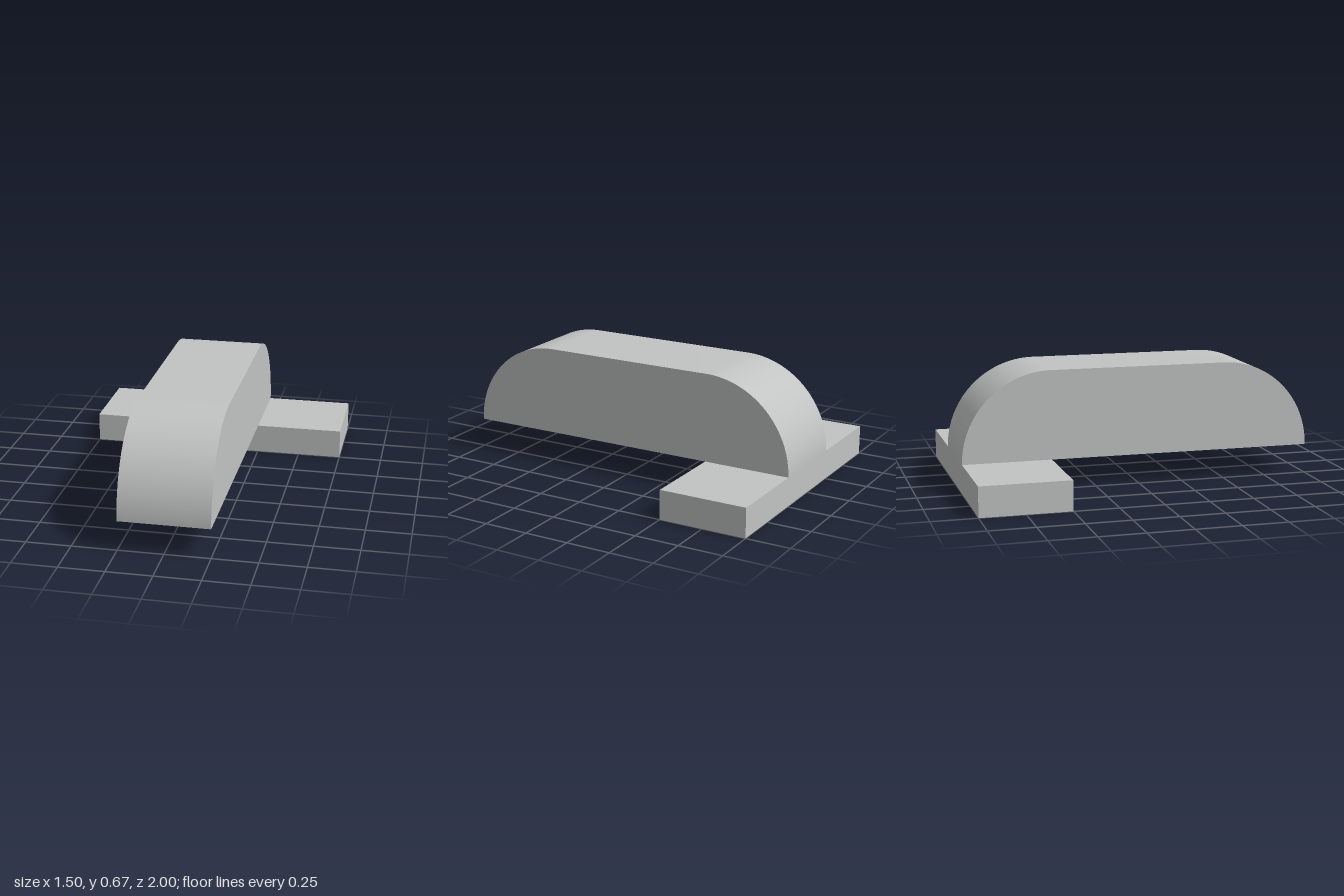
import * as THREE from 'three';
import { toCreasedNormals } from 'three/addons/utils/BufferGeometryUtils.js';

export function createModel() {
  const model = new THREE.Group();
  const grey = new THREE.MeshStandardMaterial({ color: 0xc1c4c3, side: THREE.DoubleSide });
  grey.name = 'light grey';

  const baseHeight = 1 / 6;
  const radius = 0.5;
  const width = 0.5;

  // Long body: flat top with a quarter-round at each end
  const profile = new THREE.Shape();
  profile.moveTo(-1, 0);
  profile.lineTo(1, 0);
  profile.absarc(1 - radius, 0, radius, 0, Math.PI / 2, false);
  profile.absarc(radius - 1, 0, radius, Math.PI / 2, Math.PI, false);
  const bodyGeometry = new THREE.ExtrudeGeometry(profile, { depth: width, bevelEnabled: false, curveSegments: 32 });
  bodyGeometry.translate(0, 0, -width / 2);
  bodyGeometry.rotateY(-Math.PI / 2);
  const body = new THREE.Mesh(toCreasedNormals(bodyGeometry, Math.PI / 6), grey);
  body.name = 'roundedBody';
  body.position.y = baseHeight;
  model.add(body);

  // Cross bar under the back end: a thin shell, open underneath
  const barGeometry = new THREE.BoxGeometry(1.5, baseHeight, 0.5);
  const faces = Array.from(barGeometry.index.array);
  faces.splice(18, 6); // drop the bottom face
  barGeometry.setIndex(faces);
  barGeometry.clearGroups();
  const bar = new THREE.Mesh(barGeometry, grey);
  bar.name = 'crossBar';
  bar.position.set(0, baseHeight / 2, -0.75);
  model.add(bar);

  return model;
}
